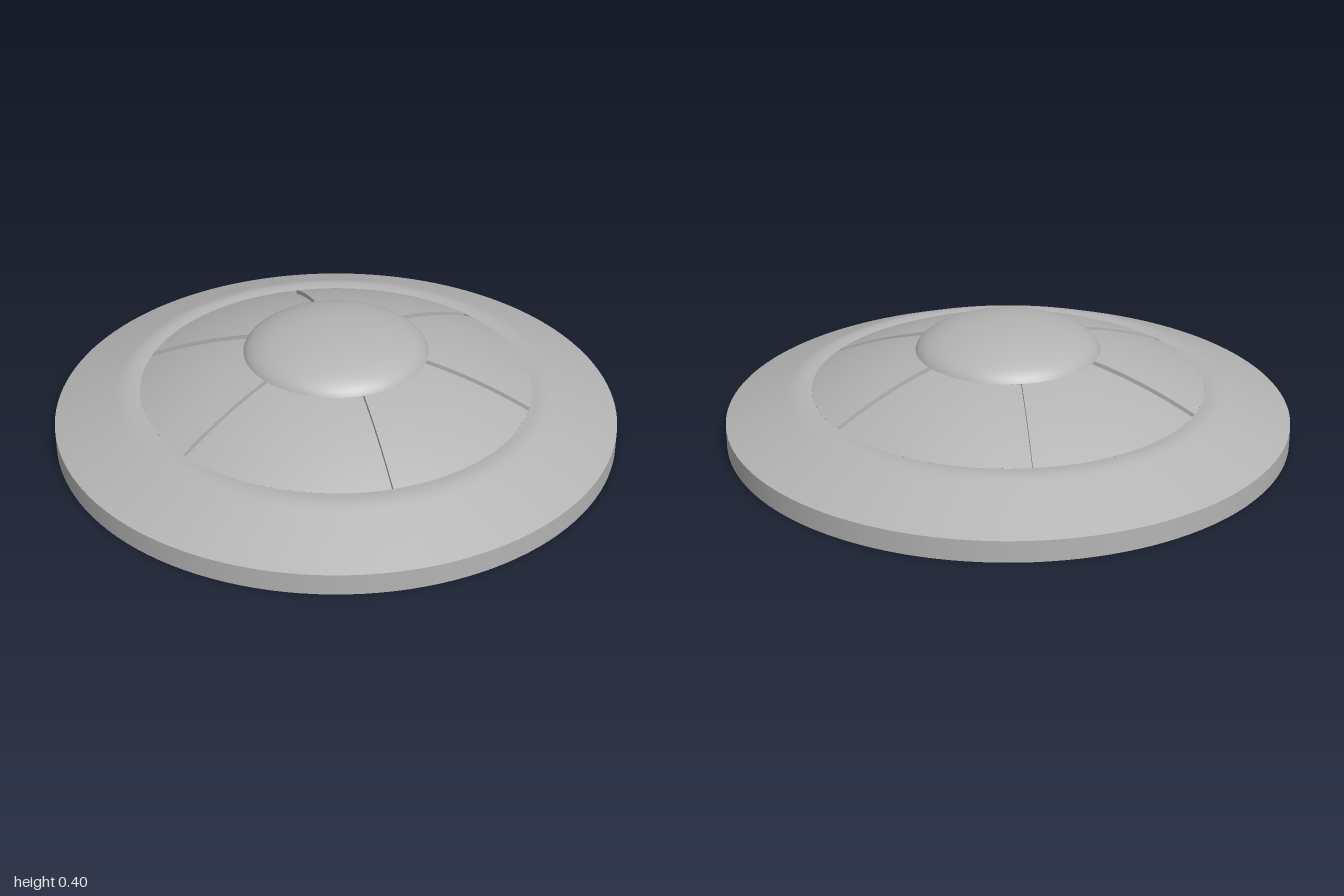
import * as THREE from 'three';

const SPOKES = 6, HALF = 0.017, DEPTH = 0.016;
const R_IN = 0.3, R_OUT = 0.695;
const domeY = r => 0.34 - 0.348 * r * r;

// Grid surface from a rule f(u, v) -> [x, y, z]; u runs around, v runs outward
function patch(nu, nv, f) {
  const pos = [], idx = [];
  for (let j = 0; j <= nv; j++)
    for (let i = 0; i <= nu; i++) pos.push(...f(i / nu, j / nv));
  for (let j = 0; j < nv; j++)
    for (let i = 0; i < nu; i++) {
      const a = j * (nu + 1) + i, b = a + nu + 1;
      idx.push(a, a + 1, b, a + 1, b + 1, b);
    }
  const g = new THREE.BufferGeometry();
  g.setAttribute('position', new THREE.Float32BufferAttribute(pos, 3));
  g.setIndex(idx);
  g.computeVertexNormals();
  return g;
}

export function createModel() {
  const model = new THREE.Group();
  model.name = 'roundShield';
  const steel = new THREE.MeshStandardMaterial({ color: 0xb4b4b4 });
  steel.name = 'grey steel';

  const add = (name, geo, parent = model) => {
    const m = new THREE.Mesh(geo, steel);
    m.name = name;
    parent.add(m);
    return m;
  };
  const lathe = (name, pts) =>
    add(name, new THREE.LatheGeometry(pts.map(p => new THREE.Vector2(...p)), 128));

  // Flat back, upright edge and sloping rim with a rounded crest
  lathe('back', [[0, 0], [1, 0]]);
  lathe('edge', [[1, 0], [1, 0.075]]);
  lathe('rim', [[1, 0.075], [0.9, 0.1155], [0.78, 0.164], [0.755, 0.1725],
    [0.735, 0.175], [0.715, 0.1745], [R_OUT, domeY(R_OUT)]]);

  // Short walls closing both ends of the grooves
  lathe('grooveOuterWall', [[R_OUT, domeY(R_OUT)], [R_OUT, domeY(R_OUT) - DEPTH]]);
  lathe('grooveInnerWall', [[R_IN, domeY(R_IN) - DEPTH], [R_IN, 0.32]]);

  // Dome: curved panels between straight sunken grooves
  const radius = v => R_IN + (R_OUT - R_IN) * v;
  const step = Math.PI * 2 / SPOKES;
  const at = (r, s, drop) => [Math.sqrt(r * r - s * s), domeY(r) - drop, s];
  const panel = patch(20, 14, (u, v) => {
    const r = radius(v), edge = Math.asin(HALF / r);
    const a = edge + (step - 2 * edge) * u;
    return [r * Math.cos(a), domeY(r), r * Math.sin(a)];
  });
  const floor = patch(2, 14, (u, v) => at(radius(v), HALF * (2 * u - 1), DEPTH));
  const wallA = patch(1, 14, (u, v) => at(radius(v), -HALF, DEPTH * u));
  const wallB = patch(1, 14, (u, v) => at(radius(v), HALF, DEPTH * (1 - u)));
  for (let i = 0; i < SPOKES; i++) {
    const sector = new THREE.Group();
    sector.name = 'domeSector';
    sector.rotation.y = i * step;
    add('panel', panel, sector);
    add('grooveFloor', floor, sector);
    add('grooveWall', wallA, sector);
    add('grooveWall', wallB, sector);
    model.add(sector);
  }

  // Central boss: a flattened cap with a thin flat underside
  const boss = [];
  for (let i = 0; i <= 20; i++) {
    const t = 0.14 + (Math.PI / 2 - 0.14) * i / 20;
    boss.push([0.329 * Math.cos(t), 0.29 + 0.11 * Math.sin(t)]);
  }
  boss[20][0] = 0;
  lathe('boss', boss);
  lathe('bossUnderside', [[R_IN, boss[0][1]], boss[0]]);

  return model;
}
